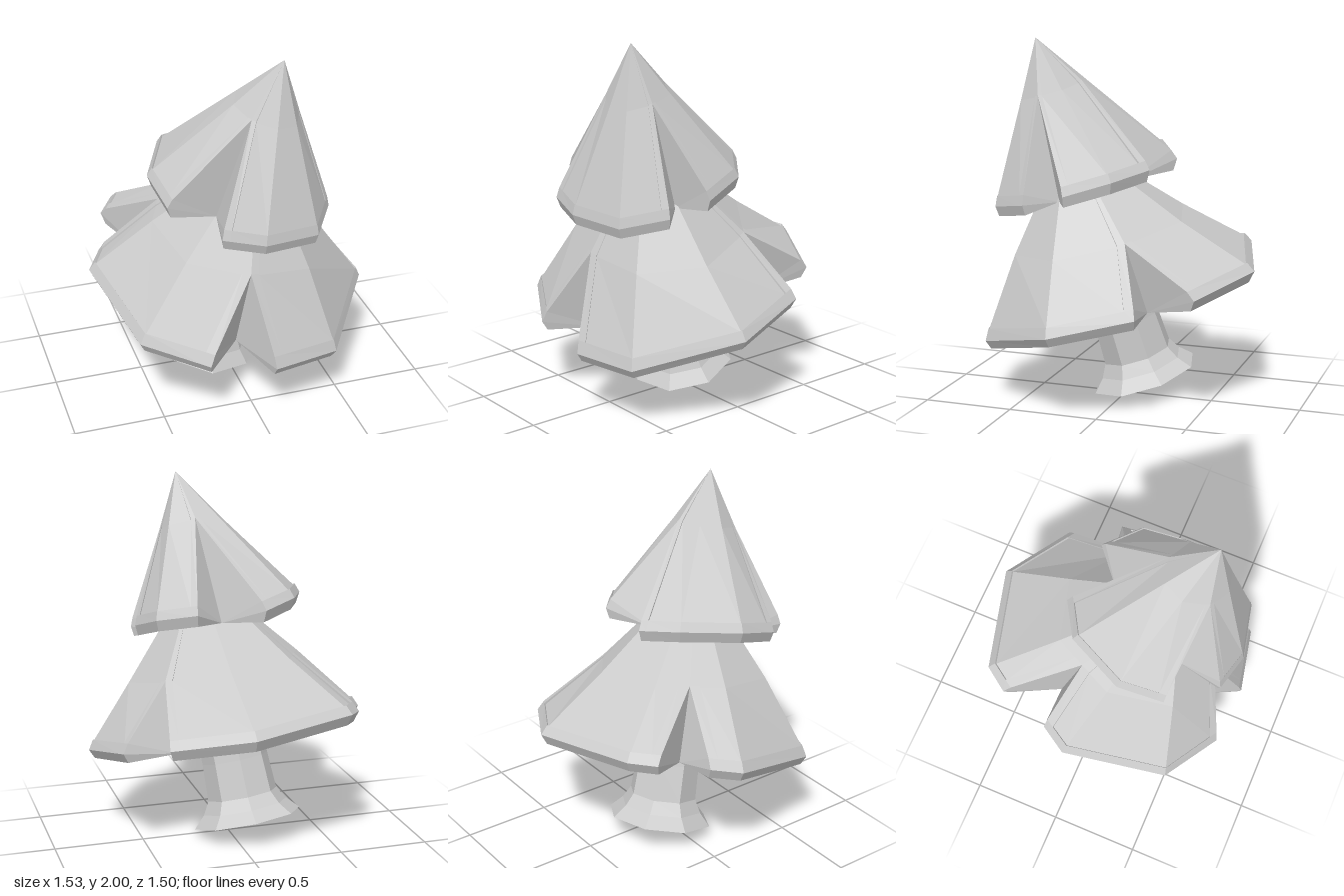
import * as THREE from 'three';

const material = new THREE.MeshStandardMaterial({ color: 0xcccccc, flatShading: true });

// The tree leans: its axis drifts with height h, and each level is a tilted plane.
// Points on a level are [x, z, rise], rise being a small offset above that plane.
const axis = (h) => [-0.09 + 0.124 * (h - 0.055), -0.08 + 0.257 * (h - 0.055), 0];
const tilt = ([x, z, rise], h) => new THREE.Vector3(x, h + rise - 0.136 * x - 0.283 * z, z);
const mix = (a, b, t) => a.map((v, i) => v + (b[i] - v) * t);

function flatMesh(geometry, name) {
  geometry.computeVertexNormals();
  const mesh = new THREE.Mesh(geometry, material);
  mesh.name = name;
  return mesh;
}

// A cone of foliage split into lobes by notches. Each lobe is a list of rim corners.
function makeTier(name, { lobes, rimH, bottomH, notchH, apexH, valley, border, depth, hollow, swell, lean }) {
  const pos = [];
  const tri = (...pts) => pts.forEach((p) => pos.push(p.x, p.y, p.z));
  const quad = (a, b, c, d) => { tri(a, b, c); tri(a, c, d); };
  const apex = axis(apexH);
  const base = axis(bottomH);
  const heart = tilt(base, bottomH + hollow);
  const notchF = (notchH - rimH) / (apexH - rimH);
  const valleyPoint = (m) => tilt(mix(base, m, valley), bottomH);

  // Where the line from a rim point to the tip crosses the notch level.
  const crease = (c) => {
    const mid = axis(notchH);
    const [x, z] = mix(mid, mix(c, apex, notchF), swell);
    return [x, z, lean * (z - mid[1])];
  };

  lobes.forEach((corners, i) => {
    const n = corners.length;
    const prev = lobes[(i + lobes.length - 1) % lobes.length];
    const next = lobes[(i + 1) % lobes.length];
    const startMid = mix(prev[prev.length - 1], corners[0], 0.5);
    const endMid = mix(corners[n - 1], next[0], 0.5);

    // Columns: raised border at both ends, sunken panel between them.
    const main = corners.map((c, k) => ({
      rim: c,
      top: crease(k === 0 ? startMid : k === n - 1 ? endMid : c),
      low: k > 0 && k < n - 1,
    }));
    const inset = (a, b, low) => {
      const len = Math.hypot(a.rim[0] - b.rim[0], a.rim[1] - b.rim[1]);
      const t = Math.min(0.4, border / len);
      return { rim: mix(a.rim, b.rim, t), top: mix(a.top, b.top, t), low };
    };
    const first = [main[0], main[1]];
    const last = [main[n - 1], main[n - 2]];
    const columns = [
      main[0], inset(...first, false), inset(...first, true),
      ...main.slice(1, -1),
      inset(...last, true), inset(...last, false), main[n - 1],
    ];

    // Rows from the underside edge up to the tip.
    const grid = columns.map(({ rim, top, low }) => {
      const at = (f, raise) => tilt(mix(rim, top, f / notchF), rimH + f * (apexH - rimH) + raise);
      return [
        tilt(mix(base, rim, 0.96), bottomH + rim[2] * 0.04),
        at(0, 0),
        at(0.04, 0.02),
        at(low ? 0.046 : 0.041, low ? 0.02 - depth : 0.02),
        at(notchF, low ? -depth * 0.6 : 0),
        tilt(apex, apexH),
      ];
    });
    for (let c = 0; c < grid.length - 1; c++) {
      const a = grid[c], b = grid[c + 1];
      for (let r = 0; r < 4; r++) quad(a[r], a[r + 1], b[r + 1], b[r]);
      tri(a[4], a[5], b[4]);
      tri(heart, a[0], b[0]);
    }

    // Notch walls on both sides of the lobe, plus their share of the underside.
    const v0 = valleyPoint(startMid), v1 = valleyPoint(endMid);
    const s = grid[0], e = grid[grid.length - 1];
    for (let r = 0; r < 4; r++) {
      tri(v0, s[r + 1], s[r]);
      tri(v1, e[r], e[r + 1]);
    }
    tri(heart, v0, s[0]);
    tri(heart, e[0], v1);
  });

  const geometry = new THREE.BufferGeometry();
  geometry.setAttribute('position', new THREE.Float32BufferAttribute(pos, 3));
  return flatMesh(geometry, name);
}

// Eight-sided trunk with a flared foot, bent onto the leaning axis.
function makeTrunk() {
  const profile = [[0, 0.055], [0.3, 0.055], [0.235, 0.125], [0.195, 0.2], [0.185, 0.42], [0.185, 0.75]]
    .map(([r, h]) => new THREE.Vector2(r, h));
  const geometry = new THREE.LatheGeometry(profile, 8, 0.65).toNonIndexed();
  const p = geometry.attributes.position;
  for (let i = 0; i < p.count; i++) {
    const h = p.getY(i);
    const [cx, cz] = axis(h);
    const v = tilt([p.getX(i) + cx, p.getZ(i) * 0.97 + cz, 0], h);
    p.setXYZ(i, v.x, v.y, v.z);
  }
  return flatMesh(geometry, 'trunk');
}

export function createModel() {
  const tree = new THREE.Group();
  tree.name = 'tree';
  tree.add(makeTrunk());

  tree.add(makeTier('lowerFoliage', {
    lobes: [
      [[0.66, -0.27, 0.02], [0.76, 0.18, 0.05], [0.43, 0.67, 0], [0.06, 0.75, -0.02]],
      [[-0.30, 0.73, 0], [-0.63, 0.54, -0.01], [-0.77, -0.03, -0.03], [-0.68, -0.18, -0.03]],
      [[-0.60, -0.46, -0.02], [-0.51, -0.59, -0.02], [0.07, -0.75, -0.03], [0.47, -0.53, 0]],
    ],
    rimH: 0.6, bottomH: 0.545, notchH: 0.99, apexH: 1.57,
    valley: 0.64, border: 0.05, depth: 0.014, hollow: 0.1, swell: 1.04, lean: 0.09,
  }));

  tree.add(makeTier('upperFoliage', {
    lobes: [
      [[0.45, 0.43, 0], [0.31, 0.65, 0], [0, 0.72, 0], [-0.22, 0.67, 0]],
      [[-0.44, 0.43, 0], [-0.48, 0.18, 0], [-0.34, -0.13, -0.03], [-0.14, -0.25, -0.07]],
      [[0.23, -0.21, -0.02], [0.42, -0.06, 0], [0.48, 0.19, 0]],
    ],
    rimH: 1.31, bottomH: 1.25, notchH: 1.85, apexH: 2.153,
    valley: 0.6, border: 0.04, depth: 0.014, hollow: 0.04, swell: 1, lean: 0,
  }));
  return tree;
}
